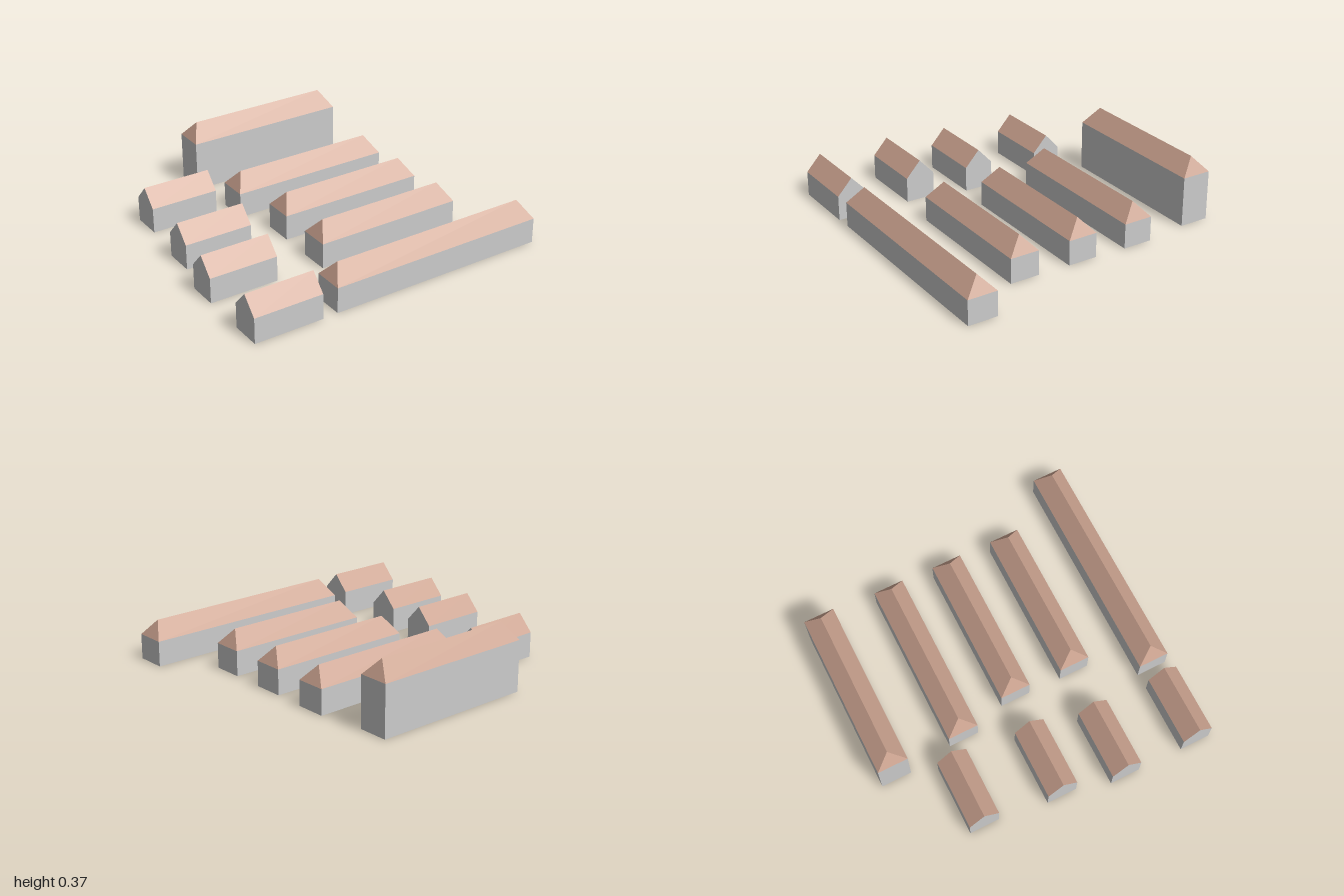
import * as THREE from 'three';

const wallMat = new THREE.MeshStandardMaterial({ color: 0xcccccc, side: THREE.DoubleSide, flatShading: true });
const roofMat = new THREE.MeshStandardMaterial({ color: 0xc9a18e, side: THREE.DoubleSide, flatShading: true });

const WIDTH = 0.166, RISE = 0.09, HIP = 0.054, YAW = 0.29;

// Mesh from convex polygons, each listed counter-clockwise from outside
function polygonMesh(name, polygons, material) {
  const points = [];
  for (const p of polygons) {
    for (let i = 1; i < p.length - 1; i++) points.push(...p[0], ...p[i], ...p[i + 1]);
  }
  const geometry = new THREE.BufferGeometry();
  geometry.setAttribute('position', new THREE.Float32BufferAttribute(points, 3));
  geometry.computeVertexNormals();
  const mesh = new THREE.Mesh(geometry, material);
  mesh.name = name;
  return mesh;
}

// Hollow building open at the bottom, ridge along x; hip = 0 makes upright gables
function building(name, x, z, length, eave, hip) {
  const l = length / 2, w = WIDTH / 2, top = eave + RISE, r = l - hip;
  const walls = [], roof = [];
  for (const s of [1, -1]) {
    // s = -1 is the same half turned 180 degrees
    const p = (a, y, c) => [a * s, y, c * s];
    walls.push([p(-l, 0, w), p(l, 0, w), p(l, eave, w), p(-l, eave, w)]);
    roof.push([p(-l, eave, w), p(l, eave, w), p(r, top, 0), p(-r, top, 0)]);
    const end = [p(l, 0, w), p(l, 0, -w), p(l, eave, -w)];
    if (hip > 0) {
      walls.push([...end, p(l, eave, w)]);
      roof.push([p(l, eave, w), p(l, eave, -w), p(r, top, 0)]);
    } else {
      walls.push([...end, p(l, top, 0), p(l, eave, w)]);
    }
  }
  const group = new THREE.Group();
  group.name = name;
  group.add(polygonMesh('walls', walls, wallMat), polygonMesh('roof', roof, roofMat));
  group.position.set(x, 0, z);
  group.rotation.y = YAW;
  return group;
}

export function createModel() {
  const model = new THREE.Group();
  model.name = 'housingEstate';

  // Tall block at the back
  model.add(building('tallBlock', -0.171, -0.792, 0.909, 0.277, HIP));

  // Long hip-roofed rows: x, z, length
  [
    [-0.019, -0.41, 0.911],
    [0.111, -0.091, 0.828],
    [0.206, 0.243, 0.828],
    [0.341, 0.603, 1.222],
  ].forEach(([x, z, len], i) => model.add(building(`hippedRow${i + 1}`, x, z, len, 0.138, HIP)));

  // Short gabled houses: x, z
  [
    [-0.751, -0.306],
    [-0.665, 0.116],
    [-0.621, 0.461],
    [-0.506, 0.86],
  ].forEach(([x, z], i) => model.add(building(`gabledHouse${i + 1}`, x, z, 0.378, 0.138, 0)));

  return model;
}
